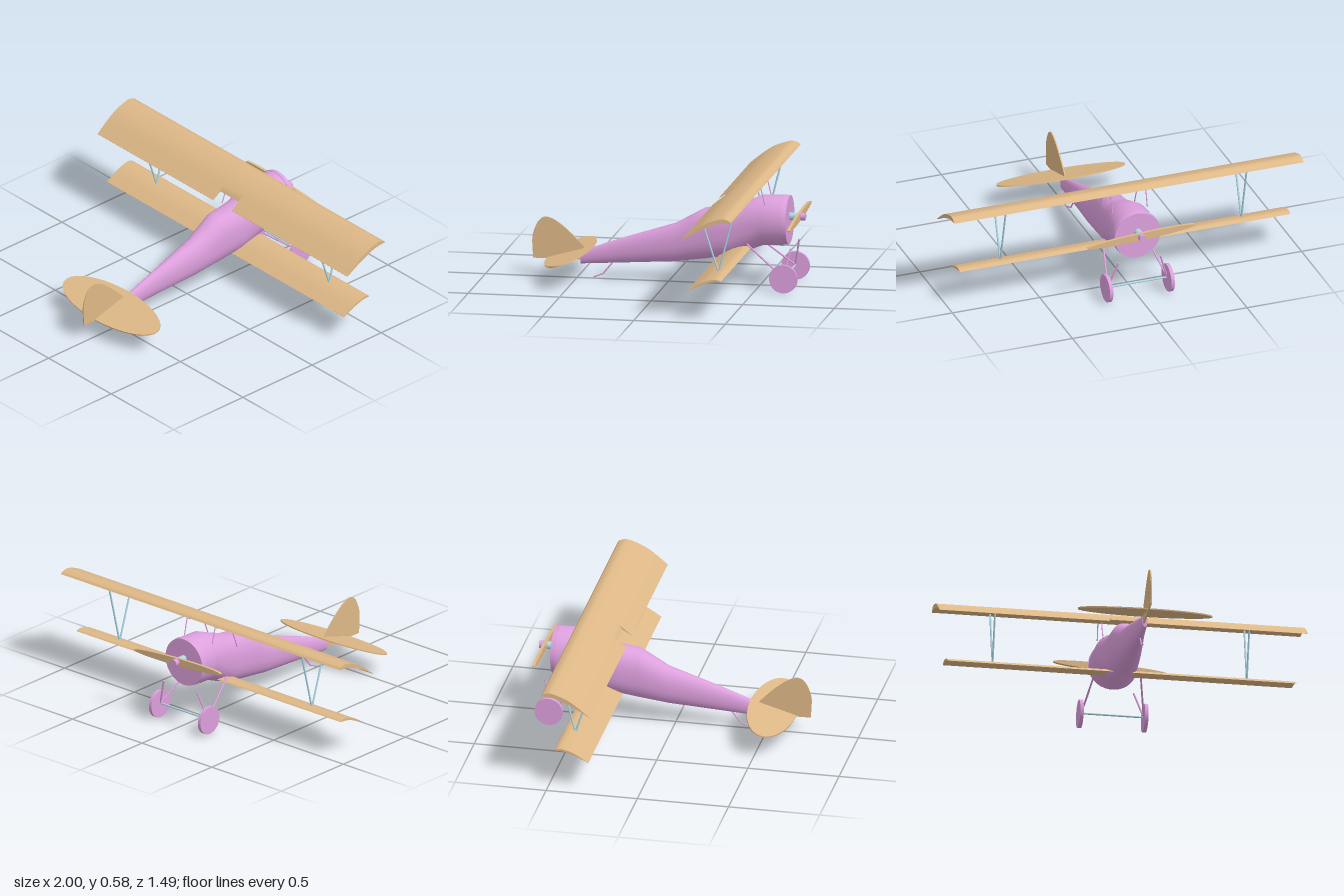
import * as THREE from 'three';
import { toCreasedNormals } from 'three/addons/utils/BufferGeometryUtils.js';

const mat = (name, color, side = THREE.FrontSide) =>
  Object.assign(new THREE.MeshStandardMaterial({ color, side }), { name });

export function createModel() {
  const model = new THREE.Group();
  model.name = 'biplane';
  const body = mat('plum paint', 0xdda0dd);
  const fabric = mat('tan fabric', 0xdeb887);
  const metal = mat('pale blue metal', 0xadd8e6);

  const add = (name, geo, material, parent = model) => {
    const m = new THREE.Mesh(geo, material);
    m.name = name;
    parent.add(m);
    return m;
  };
  const V = (p) => new THREE.Vector3(...p);

  // Round rod between two points
  const rod = (name, a, b, r, material) => {
    const p = V(a), d = V(b).sub(p);
    const m = add(name, new THREE.CylinderGeometry(r, r, d.length(), 10), material);
    m.position.copy(p).addScaledVector(d, 0.5);
    m.quaternion.setFromUnitVectors(new THREE.Vector3(0, 1, 0), d.normalize());
    return m;
  };

  // Outline drawn in (z, y), extruded along x from x0 to x1
  const slab = (name, points, x0, x1, material) => {
    const geo = new THREE.ExtrudeGeometry(new THREE.Shape(points), {
      depth: x1 - x0, bevelEnabled: false, steps: 1,
    });
    geo.rotateY(-Math.PI / 2).translate(x1, 0, 0);
    return add(name, toCreasedNormals(geo, 0.5), material);
  };
  const spline = (pts) => new THREE.SplineCurve(pts.map((p) => new THREE.Vector2(...p)));

  // Fuselage: lofted rounded sections [z, bottom, top, half width, squareness]
  const sections = [
    [0.48, 0.08, 0.15, 0.014, 2], [0.25, 0.095, 0.232, 0.034, 2.1],
    [-0.04, 0.115, 0.325, 0.066, 2.2], [-0.12, 0.127, 0.37, 0.076, 2.3],
    [-0.2, 0.138, 0.415, 0.085, 2.4], [-0.34, 0.16, 0.43, 0.097, 2.4],
    [-0.43, 0.19, 0.463, 0.108, 2.3], [-0.52, 0.225, 0.498, 0.122, 2.1],
    [-0.64, 0.228, 0.5, 0.132, 2],
  ];
  const sides = 40, pos = [], idx = [];
  const ring = ([z, yb, yt, w, n]) => {
    for (let i = 0; i < sides; i++) {
      const a = (i / sides) * Math.PI * 2, c = Math.cos(a), s = Math.sin(a);
      const e = 2 / n;
      pos.push(w * Math.sign(c) * Math.abs(c) ** e,
        (yb + yt) / 2 + ((yt - yb) / 2) * Math.sign(s) * Math.abs(s) ** e, z);
    }
  };
  sections.forEach(ring);
  for (let j = 0; j < sections.length - 1; j++) {
    for (let i = 0; i < sides; i++) {
      const k = (i + 1) % sides, a = j * sides, b = a + sides;
      idx.push(a + i, b + i, a + k, a + k, b + i, b + k);
    }
  }
  // Flat tail cap
  const cap = pos.length / 3;
  ring(sections[0]);
  for (let i = 1; i < sides - 1; i++) idx.push(cap, cap + i, cap + i + 1);
  const hull = new THREE.BufferGeometry();
  hull.setAttribute('position', new THREE.Float32BufferAttribute(pos, 3));
  hull.setIndex(idx);
  hull.computeVertexNormals();
  add('fuselage', hull, body);

  // Closed engine cowl ring
  const cowl = new THREE.CylinderGeometry(0.132, 0.135, 0.024, 40);
  cowl.rotateX(-Math.PI / 2);
  add('engineCowl', cowl, body).position.set(0, 0.367, -0.65);

  // Cambered wing section from leading edge to trailing edge, cut off at zMax
  const topEdge = spline([[-0.53, 0.558], [-0.515, 0.57], [-0.47, 0.576], [-0.37, 0.537], [-0.257, 0.451]]);
  const bottomEdge = spline([[-0.53, 0.558], [-0.51, 0.556], [-0.45, 0.547], [-0.35, 0.505], [-0.257, 0.45]]);
  const airfoil = (zMax) => [
    ...bottomEdge.getPoints(32), ...topEdge.getPoints(32).reverse().slice(0, -1),
  ].filter((p) => p.x < zMax);

  slab('upperWingCentre', airfoil(-0.308), -0.075, 0.075, fabric);
  slab('upperWingLeft', airfoil(0), 0.075, 1, fabric);
  slab('upperWingRight', airfoil(0), -1, -0.075, fabric);
  const lower = airfoil(0).map((p) =>
    new THREE.Vector2(-0.28 + (p.x + 0.257) * 0.68, 0.163 + (p.y - 0.45) * 0.54));
  slab('lowerWing', lower, -0.95, 0.945, fabric);

  // Tailplane: thin tilted ellipse
  const tail = new THREE.CylinderGeometry(1, 1, 0.007, 64);
  tail.scale(0.365, 1, 0.13);
  const tailplane = add('tailplane', tail, fabric);
  tailplane.position.set(-0.009, 0.139, 0.537);
  tailplane.rotation.x = 0.28;

  // Rudder
  const rudderEdge = spline([[0.74, 0.1], [0.745, 0.21], [0.727, 0.275], [0.703, 0.313],
    [0.67, 0.328], [0.623, 0.313], [0.563, 0.27], [0.504, 0.215], [0.448, 0.157]]);
  slab('rudder', [...rudderEdge.getPoints(40), new THREE.Vector2(0.48, 0.1)], -0.01, -0.003, fabric);

  // Tail skid
  rod('tailSkidLeg', [0, 0.095, 0.305], [0, 0.03, 0.357], 0.004, body);
  rod('tailSkidFoot', [0, 0.03, 0.357], [0, 0.009, 0.41], 0.004, body);

  // Struts, wheels and undercarriage on both sides
  for (const s of [1, -1]) {
    const x = 0.69 * s;
    rod('rearWingStrut', [x, 0.215, -0.405], [x, 0.494, -0.314], 0.005, metal);
    rod('frontWingStrut', [x, 0.215, -0.405], [x, 0.552, -0.49], 0.005, metal);

    const c = 0.1 * s;
    rod('rearCabaneStrut', [c, 0.385, -0.344], [c, 0.495, -0.387], 0.003, body);
    rod('topCabaneStrut', [c, 0.495, -0.387], [c, 0.553, -0.523], 0.003, body);
    rod('frontCabaneStrut', [c, 0.553, -0.523], [c, 0.462, -0.545], 0.003, body);

    const wheel = new THREE.CylinderGeometry(0.077, 0.077, 0.019, 40);
    wheel.rotateZ(Math.PI / 2);
    add('wheel', wheel, body).position.set(0.176 * s, 0.079, -0.66);
    const hub = [0.17 * s, 0.082, -0.66];
    rod('rearGearStrut', [0.12 * s, 0.25, -0.45], hub, 0.005, body);
    rod('frontGearStrut', [0.12 * s, 0.235, -0.69], hub, 0.005, body);
  }
  rod('axle', [-0.172, 0.082, -0.66], [0.172, 0.082, -0.66], 0.005, metal);

  // Propeller and hub
  rod('propellerShaft', [0, 0.387, -0.655], [0, 0.387, -0.706], 0.021, metal);
  rod('spinner', [0, 0.387, -0.722], [0, 0.387, -0.748], 0.021, body);
  const blade = new THREE.CylinderGeometry(1, 1, 0.016, 48);
  blade.rotateX(Math.PI / 2).scale(0.31, 0.021, 1);
  const propeller = add('propeller', blade, fabric);
  propeller.position.set(-0.003, 0.387, -0.714);
  propeller.rotation.z = -0.05;

  return model;
}
